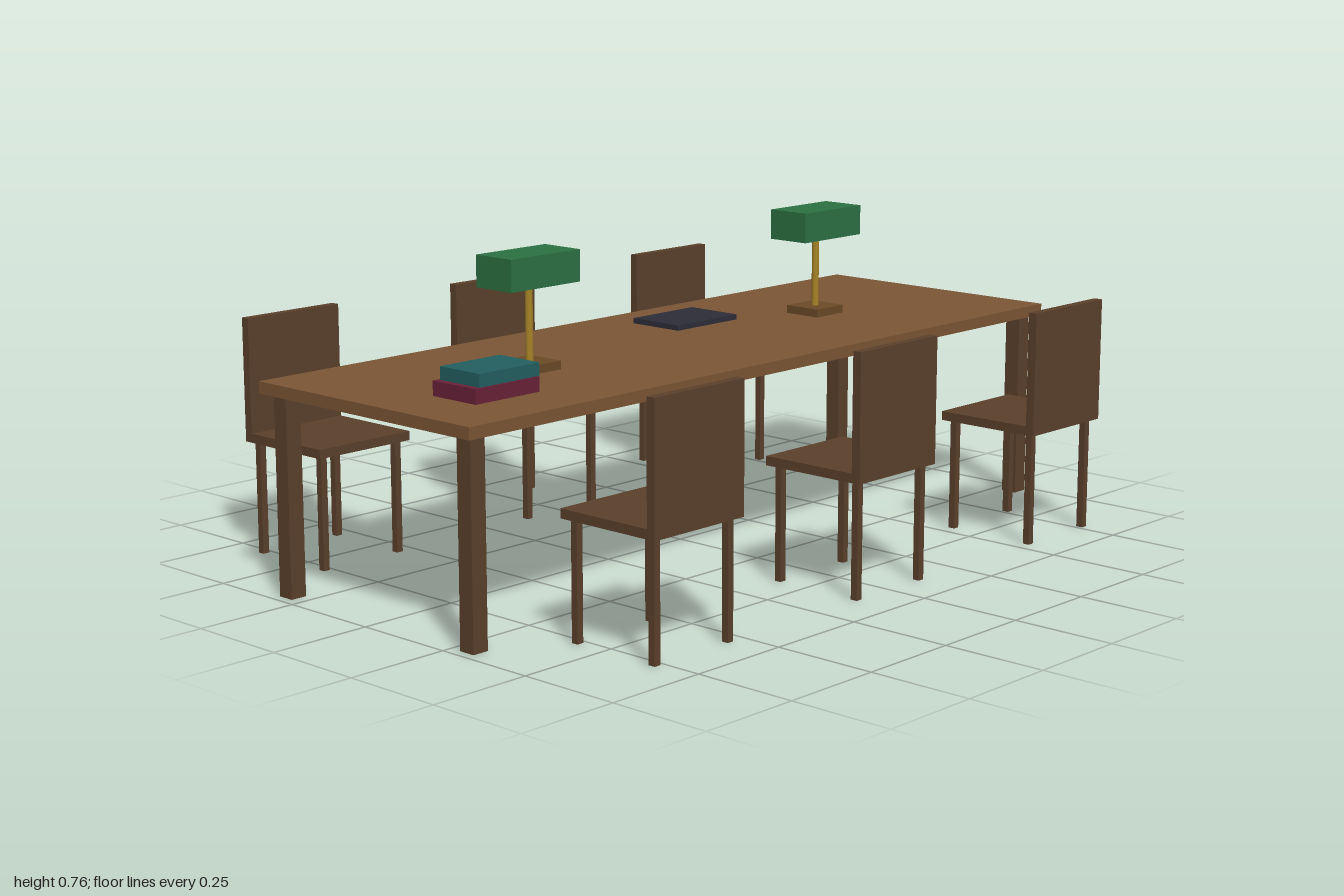
import * as THREE from 'three';

const mat = (name, color) => {
  const m = new THREE.MeshStandardMaterial({ color });
  m.name = name;
  return m;
};

export function createModel() {
  const oak = mat('oak', 0x7b5634);
  const walnut = mat('walnut', 0x5b402c);
  const bronze = mat('bronze', 0x6b4a26);
  const brass = mat('brass', 0xa88428);
  const green = mat('green', 0x2b7142);
  const slate = mat('slate', 0x2c2d38);
  const maroon = mat('maroon', 0x6a2138);
  const teal = mat('teal', 0x235f62);

  const model = new THREE.Group();
  model.name = 'readingTable';

  // Box resting with its underside at y
  const box = (parent, name, material, w, h, d, x, y, z) => {
    const mesh = new THREE.Mesh(new THREE.BoxGeometry(w, h, d), material);
    mesh.name = name;
    mesh.position.set(x, y + h / 2, z);
    parent.add(mesh);
  };
  const group = (name, x, y, z) => {
    const g = new THREE.Group();
    g.name = name;
    g.position.set(x, y, z);
    model.add(g);
    return g;
  };
  const corners = [[-1, -1], [1, -1], [-1, 1], [1, 1]];
  const top = 0.495;

  // Table
  const table = group('table', 0, 0, 0);
  box(table, 'tableTop', oak, 2, 0.028, 0.686, 0, top - 0.028, 0);
  for (const [sx, sz] of corners) {
    box(table, 'tableLeg', walnut, 0.041, 0.467, 0.041, sx * 0.957, 0, sz * 0.3);
  }

  // Three chairs along each long side, backs facing outwards
  for (const side of [1, -1]) {
    for (const x of [-0.656, 0, 0.656]) {
      const chair = group('chair', x, 0, side * 0.531);
      if (side < 0) chair.rotation.y = Math.PI;
      box(chair, 'seat', walnut, 0.273, 0.022, 0.273, 0, 0.273, 0);
      box(chair, 'chairBack', walnut, 0.273, 0.276, 0.022, 0, 0.295, 0.1255);
      for (const [sx, sz] of corners) {
        box(chair, 'chairLeg', walnut, 0.017, 0.273, 0.017, sx * 0.1125, 0, sz * 0.1125);
      }
    }
  }

  // Two desk lamps
  for (const x of [-0.5, 0.5]) {
    const lamp = group('lamp', x, top, 0);
    box(lamp, 'lampBase', bronze, 0.1, 0.02, 0.1, 0, 0, 0);
    const stem = new THREE.Mesh(new THREE.CylinderGeometry(0.009, 0.009, 0.18, 12), brass);
    stem.name = 'lampStem';
    stem.position.y = 0.11;
    lamp.add(stem);
    box(lamp, 'lampShade', green, 0.214, 0.074, 0.113, 0, 0.195, 0);
  }

  // Closed laptop and stacked books
  box(model, 'laptop', slate, 0.214, 0.013, 0.151, 0.186, top, -0.157);
  box(model, 'lowerBook', maroon, 0.188, 0.034, 0.136, -0.749, top, 0.125);
  box(model, 'upperBook', teal, 0.176, 0.03, 0.125, -0.739, top + 0.034, 0.126);

  return model;
}
